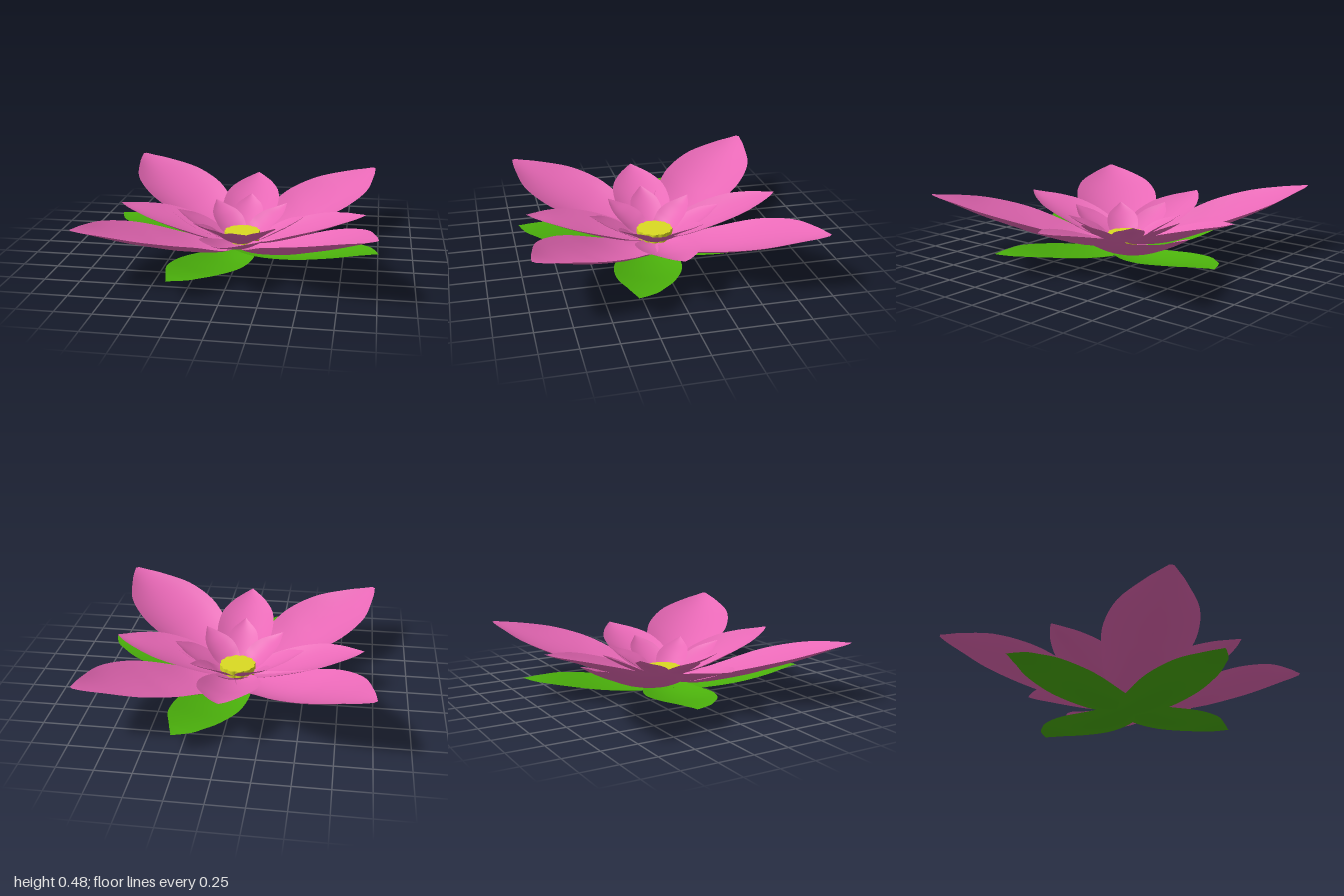
import * as THREE from 'three';

const paint = (color) => new THREE.MeshStandardMaterial({ color, side: THREE.DoubleSide });

// Cupped blade along +x. Each row: [distance, half width, midrib height, edge height].
// sway bends the midrib sideways ahead of the tip.
function bladeGeometry(rows, sway = 0, nu = 28, nv = 12) {
  const plan = new THREE.SplineCurve(rows.map((r) => new THREE.Vector2(r[0], r[1])));
  const lift = new THREE.SplineCurve(rows.map((r) => new THREE.Vector2(r[2], r[3])));
  const pos = [], index = [];
  for (let i = 0; i <= nu; i++) {
    const t = i / nu;
    const p = plan.getPoint(t), h = lift.getPoint(t);
    const bend = sway * Math.sin(Math.PI * t ** 3);
    for (let j = 0; j <= nv; j++) {
      const s = (2 * j) / nv - 1;
      pos.push(p.x, h.x + (h.y - h.x) * s * s, s * Math.max(p.y, 0) + bend);
      if (i < nu && j < nv) {
        const a = i * (nv + 1) + j, b = a + nv + 1;
        index.push(a, a + 1, b, b, a + 1, b + 1);
      }
    }
  }
  const geo = new THREE.BufferGeometry();
  geo.setAttribute('position', new THREE.Float32BufferAttribute(pos, 3));
  geo.setIndex(index);
  geo.computeVertexNormals();
  return geo;
}

// One blade per tip [x, z, height scale, base height], turned and stretched to reach that tip.
function ring(name, rows, tips, material, sway) {
  const group = new THREE.Group();
  group.name = name + 's';
  const geo = bladeGeometry(rows, sway);
  const length = rows[rows.length - 1][0];
  for (const [x, z, rise = 1, base = 0] of tips) {
    const mesh = new THREE.Mesh(geo, material);
    mesh.name = name;
    mesh.position.y = base;
    mesh.rotation.y = -Math.atan2(z, x);
    mesh.scale.set(Math.hypot(x, z) / length, rise, 1);
    group.add(mesh);
  }
  return group;
}

export function createModel() {
  const flower = new THREE.Group();
  flower.name = 'waterLily';
  const pink = paint(0xe868b6), green = paint(0x4cb20c), yellow = paint(0xdada22);

  // Leaves under the flower, one opposite pair lying below the other
  flower.add(ring('leaf', [
    [-0.07, 0.02, 0.035, 0.035], [0, 0.12, 0.025, 0.04], [0.22, 0.195, 0.008, 0.047], [0.5, 0.235, 0.045, 0.085],
    [0.75, 0.195, 0.102, 0.122], [0.9, 0.12, 0.13, 0.137], [0.97, 0.077, 0.138, 0.142], [1.05, 0, 0.145, 0.145],
  ], [[1, 0.33, 0.98, 0.014], [-0.35, 0.96, 0.93, -0.006], [-1, -0.33, 0.96, 0.014], [0.31, -0.98, 0.9, 0]], green, -0.03));

  // Large diagonal petals
  flower.add(ring('outerPetal', [
    [0.03, 0.06, 0.06, 0.08], [0.3, 0.22, 0.08, 0.14], [0.6, 0.3, 0.155, 0.255],
    [0.8, 0.32, 0.225, 0.318], [1.03, 0.27, 0.31, 0.378], [1.24, 0.135, 0.395, 0.425],
    [1.33, 0.065, 0.433, 0.441], [1.385, 0.015, 0.455, 0.455],
  ], [[0.98, 0.97, 1.05], [-0.98, 0.925, 0.94], [-0.985, -0.97, 1.05], [0.945, -0.97, 0.94]], pink));

  // Middle petals on the axes
  flower.add(ring('middlePetal', [
    [0.02, 0.05, 0.075, 0.09], [0.2, 0.17, 0.1, 0.155], [0.4, 0.212, 0.152, 0.225],
    [0.6, 0.2, 0.225, 0.28], [0.75, 0.135, 0.28, 0.312], [0.86, 0.06, 0.318, 0.33], [0.925, 0, 0.345, 0.345],
  ], [[0, 0.925, 1.05], [0, -0.935, 1.05], [0.905, 0.005, 0.96], [-0.92, -0.025, 0.96]], pink));

  // Small inner petals: on the axes, then on the diagonals
  flower.add(ring('innerPetal', [
    [0.02, 0.03, 0.085, 0.09], [0.12, 0.08, 0.1, 0.118], [0.25, 0.118, 0.165, 0.195],
    [0.36, 0.1, 0.225, 0.25], [0.44, 0.04, 0.275, 0.285], [0.485, 0, 0.305, 0.305],
  ], [[0, 0.475], [0, -0.5], [0.47, 0.01], [-0.49, -0.015]], pink));
  flower.add(ring('heartPetal', [
    [0.02, 0.04, 0.092, 0.096], [0.12, 0.1, 0.112, 0.14], [0.2, 0.117, 0.16, 0.198],
    [0.28, 0.1, 0.21, 0.238], [0.35, 0.058, 0.25, 0.264], [0.42, 0, 0.297, 0.297],
  ], [[0.28, 0.31], [-0.31, 0.28], [-0.25, -0.33], [0.3, -0.31]], pink));

  // Scalloped centre
  const outline = [];
  for (let i = 0; i < 96; i++) {
    const a = (i / 96) * Math.PI * 2, r = 0.122 + 0.01 * Math.abs(Math.sin(6 * a));
    outline.push(new THREE.Vector2(r * Math.cos(a), r * Math.sin(a)));
  }
  const centre = new THREE.Mesh(
    new THREE.ExtrudeGeometry(new THREE.Shape(outline), { depth: 0.065, bevelEnabled: false }), yellow);
  centre.name = 'flowerCentre';
  centre.rotation.x = -Math.PI / 2;
  centre.position.set(0, 0.095, -0.01);
  flower.add(centre);

  return flower;
}
